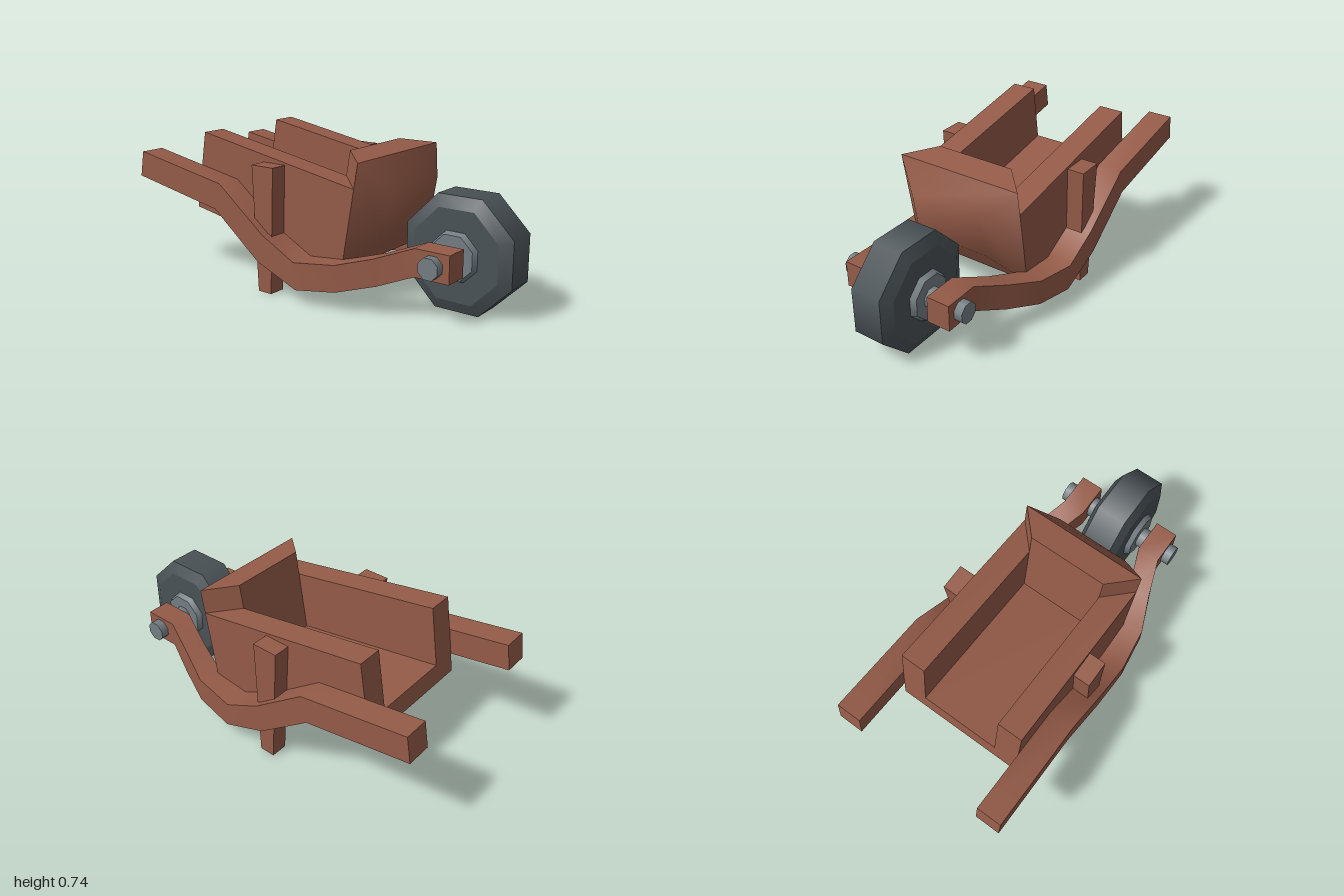
import * as THREE from 'three';

const wood = new THREE.MeshStandardMaterial({ color: 0x955b48 });
wood.name = 'reddish wood';
const rubber = new THREE.MeshStandardMaterial({ color: 0x4a5256 });
rubber.name = 'dark tyre';
const metal = new THREE.MeshStandardMaterial({ color: 0x747e83 });
metal.name = 'grey metal';

function add(parent, name, geometry, material, x = 0, y = 0, z = 0) {
  const mesh = new THREE.Mesh(geometry, material);
  mesh.name = name;
  mesh.position.set(x, y, z);
  parent.add(mesh);
  return mesh;
}

// Eight-sided solid round the x axis; each profile step keeps a crisp edge
function addTurned(parent, name, profile, material) {
  const part = new THREE.Group();
  part.name = name;
  for (let i = 0; i < profile.length - 1; i++) {
    const points = [profile[i], profile[i + 1]].map(([r, x]) => new THREE.Vector2(r / Math.cos(Math.PI / 8), x));
    add(part, name + 'Band', new THREE.LatheGeometry(points, 8, Math.PI / 8), material);
  }
  part.rotation.z = -Math.PI / 2;
  parent.add(part);
}

// Four-sided bar swept through [zTop, yTop, zBottom, yBottom, xInner, xOuter] sections
function barGeometry(sections, side) {
  const rings = sections.map(([zt, yt, zb, yb, xi, xo]) => [
    [xi * side, yb, zb], [xo * side, yb, zb], [xo * side, yt, zt], [xi * side, yt, zt],
  ]);
  const position = [], index = [];
  const quad = (a, b, c, d) => {
    if (side > 0) index.push(a, b, c, a, c, d);
    else index.push(a, c, b, a, d, c);
  };
  for (let k = 0; k < 4; k++) {
    const start = position.length / 3;
    rings.forEach((ring) => position.push(...ring[k], ...ring[(k + 1) % 4]));
    for (let i = 0; i < rings.length - 1; i++) {
      const a = start + i * 2;
      quad(a, a + 2, a + 3, a + 1);
    }
  }
  const cap = position.length / 3;
  position.push(...rings[0].flat(), ...rings[rings.length - 1].flat());
  quad(cap, cap + 1, cap + 2, cap + 3);
  quad(cap + 7, cap + 6, cap + 5, cap + 4);
  const geometry = new THREE.BufferGeometry();
  geometry.setAttribute('position', new THREE.Float32BufferAttribute(position, 3));
  geometry.setIndex(index);
  geometry.computeVertexNormals();
  return geometry;
}

// Smooth bulging face on the front of the tray
function bulgeGeometry() {
  const outer = [[-0.34, 0, 0], [0.34, 0, 0], [0.34, 0.538, 0], [-0.34, 0.538, 0]];
  const inner = [[-0.2, 0.2, 0.118], [0.2, 0.2, 0.118], [0.2, 0.412, 0.118], [-0.2, 0.412, 0.118]];
  const index = [4, 5, 6, 4, 6, 7];
  for (let k = 0; k < 4; k++) {
    const n = (k + 1) % 4;
    index.push(k, n, n + 4, k, n + 4, k + 4);
  }
  const geometry = new THREE.BufferGeometry();
  geometry.setAttribute('position', new THREE.Float32BufferAttribute([...outer, ...inner].flat(), 3));
  geometry.setIndex(index);
  geometry.computeVertexNormals();
  return geometry;
}

function createTray() {
  const tray = new THREE.Group();
  tray.name = 'tray';
  add(tray, 'floor', new THREE.BoxGeometry(0.42, 0.1, 0.97), wood, 0, 0.05, -0.485);
  for (const side of [-1, 1]) {
    add(tray, 'sideWall', new THREE.BoxGeometry(0.13, 0.412, 0.97), wood, side * 0.275, 0.206, -0.485);
  }
  // Front board, narrower towards the inside
  const outline = new THREE.Shape([[-0.34, 0], [0.34, 0], [0.21, 0.142], [-0.21, 0.142]]
    .map(([x, y]) => new THREE.Vector2(x, y)));
  const board = new THREE.ExtrudeGeometry(outline, { depth: 0.458, bevelEnabled: false });
  board.rotateX(-Math.PI / 2);
  add(tray, 'frontBoard', board, wood, 0, 0.08, 0);
  add(tray, 'frontBulge', bulgeGeometry(), wood);
  tray.position.set(0, 0.17, 0.25);
  tray.rotation.x = THREE.MathUtils.degToRad(10);
  return tray;
}

function createWheel() {
  const wheel = new THREE.Group();
  wheel.name = 'wheelAssembly';
  addTurned(wheel, 'tyre', [[0, -0.11], [0.22, -0.11], [0.277, -0.08], [0.277, 0.08], [0.22, 0.11], [0, 0.11]], rubber);
  addTurned(wheel, 'hub', [[0, -0.138], [0.105, -0.138], [0.118, -0.108], [0.118, 0.108], [0.105, 0.138], [0, 0.138]], metal);
  addTurned(wheel, 'axle', [[0, -0.345], [0.05, -0.345], [0.05, 0.345], [0, 0.345]], metal);
  wheel.position.set(0, 0.277, 0.725);
  return wheel;
}

// Leg that widens towards its top
function legGeometry() {
  const geometry = new THREE.BoxGeometry(0.088, 0.637, 0.135);
  const p = geometry.attributes.position;
  for (let i = 0; i < p.count; i++) if (p.getY(i) < 0) p.setZ(i, p.getZ(i) * 0.6);
  geometry.computeVertexNormals();
  return geometry;
}

export function createModel() {
  const model = new THREE.Group();
  model.name = 'wheelbarrow';
  model.add(createTray(), createWheel());

  // Curved arms from the axle back to the handles
  const sections = [
    [0.81, 0.345, 0.81, 0.21, 0.18, 0.302],
    [0.63, 0.345, 0.63, 0.21, 0.18, 0.302],
    [0.45, 0.277, 0.47, 0.15, 0.25, 0.37],
    [0.285, 0.233, 0.29, 0.102, 0.31, 0.442],
    [0.065, 0.21, 0.075, 0.075, 0.34, 0.47],
    [-0.13, 0.31, -0.165, 0.17, 0.34, 0.47],
    [-0.41, 0.525, -0.445, 0.39, 0.34, 0.47],
    [-0.975, 0.623, -1, 0.49, 0.34, 0.47],
  ];
  for (const side of [-1, 1]) {
    const label = side > 0 ? 'left' : 'right';
    add(model, label + 'Arm', barGeometry(sections, side), wood);
    add(model, label + 'Leg', legGeometry(), wood, side * 0.385, 0.3185, -0.158);
  }
  return model;
}
